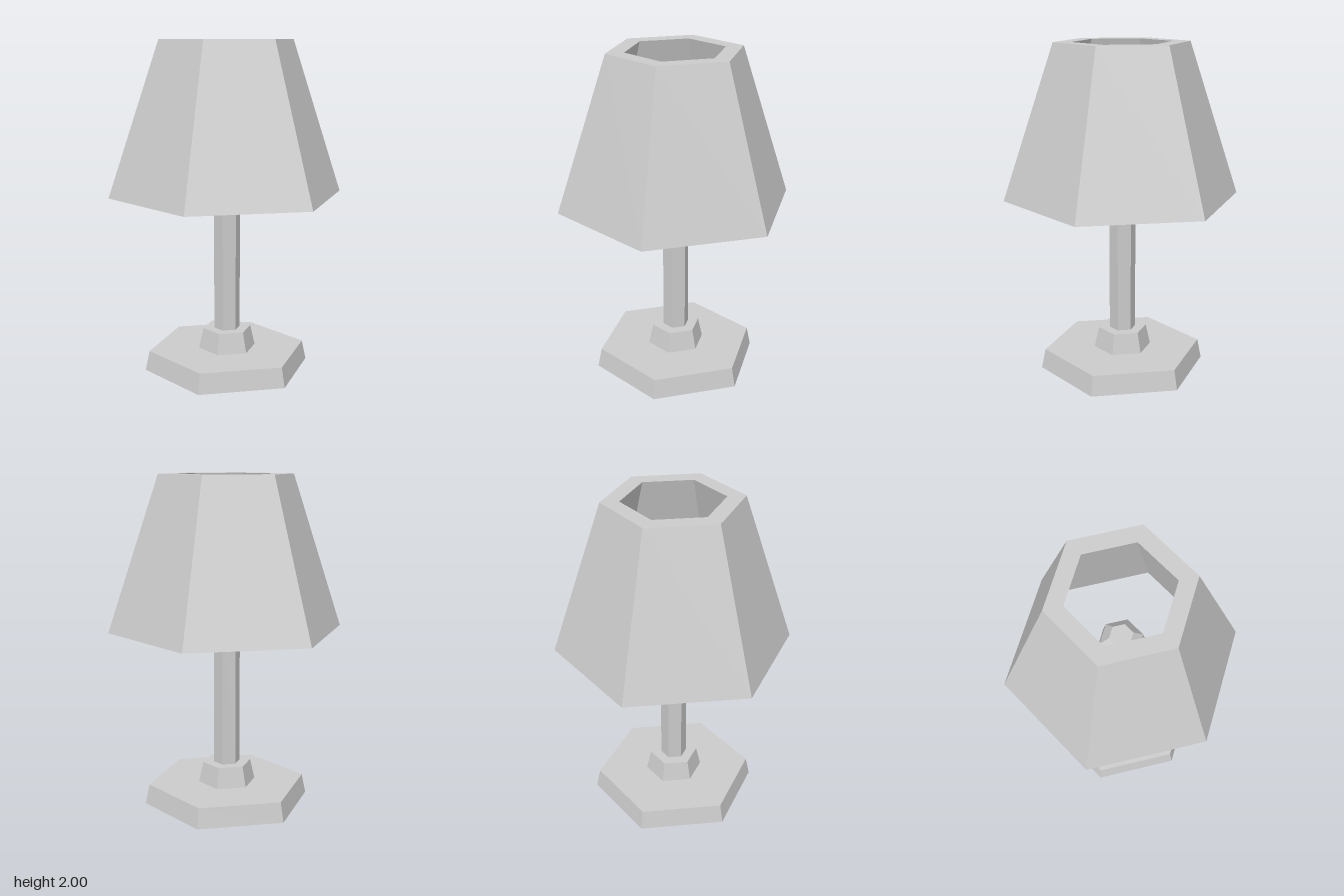
import * as THREE from 'three';

const SIDES = 6;

// Six-sided turned part from [radius, height] pairs; an upward profile faces outward
function turned(name, profile) {
  const points = profile.map(([r, y]) => new THREE.Vector2(r, y));
  const material = new THREE.MeshStandardMaterial({ color: 0xcccccc, flatShading: true });
  const mesh = new THREE.Mesh(new THREE.LatheGeometry(points, SIDES), material);
  mesh.name = name;
  return mesh;
}

export function createModel() {
  const lamp = new THREE.Group();
  lamp.name = 'tableLamp';
  lamp.add(
    // Foot and the collar that holds the pole
    turned('base', [[0, 0], [0.51, 0], [0.485, 0.12], [0, 0.12]]),
    turned('collar', [[0, 0.12], [0.176, 0.12], [0.148, 0.245], [0, 0.245]]),
    turned('pole', [[0, 0.245], [0.08, 0.245], [0.08, 1.11], [0, 1.11]]),
    // Socket and the faceted bulb above it
    turned('socket', [[0, 1.1], [0.109, 1.1], [0.109, 1.21], [0, 1.21]]),
    turned('bulb', [[0, 1.21], [0.109, 1.21], [0.148, 1.285], [0.126, 1.38], [0.07, 1.44], [0, 1.44]]),
    // Thick-walled shade, open at top and bottom
    turned('shade', [[0.585, 1.08], [0.71, 1.08], [0.402, 2], [0.295, 2], [0.585, 1.08]])
  );
  return lamp;
}
